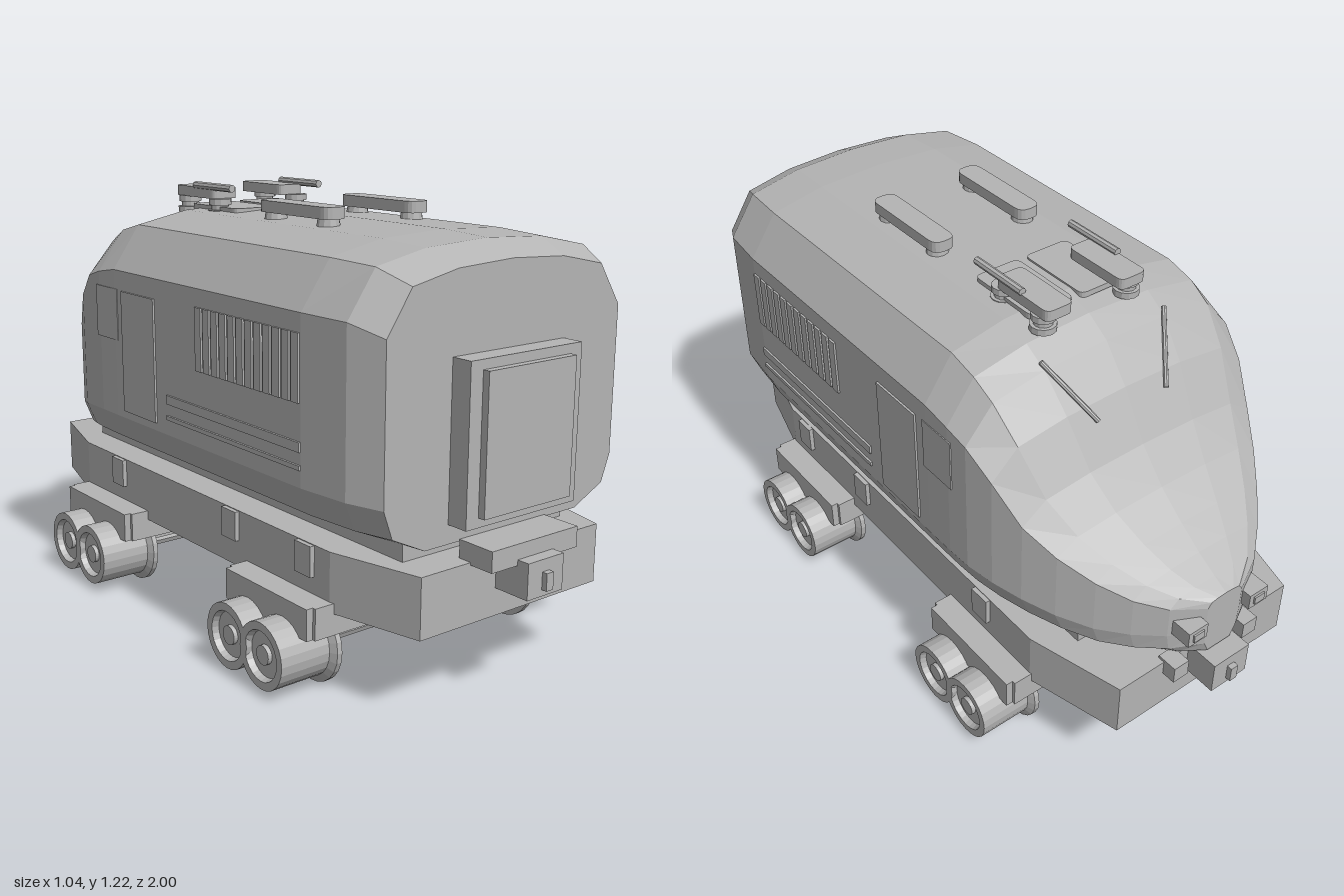
import * as THREE from 'three';

const grey = new THREE.MeshStandardMaterial({ color: 0xb4b4b4, flatShading: true });
grey.name = 'bodyGrey';

function add(parent, name, geo, x = 0, y = 0, z = 0) {
  const m = new THREE.Mesh(geo, grey);
  m.name = name;
  m.position.set(x, y, z);
  parent.add(m);
  return m;
}

// box given by its limits on each axis
function block(parent, name, x0, x1, y0, y1, z0, z1) {
  return add(parent, name, new THREE.BoxGeometry(Math.abs(x1 - x0), y1 - y0, Math.abs(z1 - z0)),
    (x0 + x1) / 2, (y0 + y1) / 2, (z0 + z1) / 2);
}

// rounded slab lying flat, given by its limits
function slab(parent, name, x0, x1, y0, y1, z0, z1, r) {
  const w = (x1 - x0) / 2, l = (z1 - z0) / 2, s = new THREE.Shape();
  s.moveTo(-w + r, -l).lineTo(w - r, -l).quadraticCurveTo(w, -l, w, -l + r);
  s.lineTo(w, l - r).quadraticCurveTo(w, l, w - r, l);
  s.lineTo(-w + r, l).quadraticCurveTo(-w, l, -w, l - r);
  s.lineTo(-w, -l + r).quadraticCurveTo(-w, -l, -w + r, -l);
  const g = new THREE.ExtrudeGeometry(s, { depth: y1 - y0, bevelEnabled: false, curveSegments: 4 });
  g.rotateX(-Math.PI / 2);
  return add(parent, name, g, (x0 + x1) / 2, y0, (z0 + z1) / 2);
}

// round bar between two points
function rod(parent, name, a, b, r) {
  const p = new THREE.Vector3(...a), q = new THREE.Vector3(...b), d = q.clone().sub(p);
  const m = add(parent, name, new THREE.CylinderGeometry(r, r, d.length(), 8));
  m.position.copy(p).add(q).multiplyScalar(0.5);
  m.quaternion.setFromUnitVectors(new THREE.Vector3(0, 1, 0), d.normalize());
}

// body shell lofted from sections: z, half width, top, bottom, shoulder drop, sill height
function bodyGeometry() {
  const stations = [
    [0.84, 0.395, 1.10, 0.425, 0.15, 0.125], [0.75, 0.435, 1.14, 0.43, 0.16, 0.125],
    [0.6, 0.45, 1.148, 0.43, 0.165, 0.125], [-0.28, 0.45, 1.15, 0.43, 0.165, 0.125],
    [-0.37, 0.449, 1.125, 0.43, 0.155, 0.125], [-0.44, 0.444, 1.08, 0.43, 0.13, 0.122],
    [-0.52, 0.425, 0.98, 0.425, 0.10, 0.118], [-0.6, 0.392, 0.845, 0.415, 0.07, 0.112],
    [-0.68, 0.345, 0.755, 0.4, 0.05, 0.105], [-0.76, 0.285, 0.69, 0.385, 0.045, 0.1],
    [-0.83, 0.22, 0.64, 0.385, 0.04, 0.095], [-0.89, 0.15, 0.605, 0.39, 0.03, 0.09],
    [-0.935, 0.06, 0.58, 0.395, 0.02, 0.085]];
  const pos = [], idx = [];
  stations.forEach(([z, w, t, b, drop, sill]) => {
    const half = [[0.45, t - drop * 0.06], [0.81, t - drop * 0.26], [1, t - drop],
      [1, b + sill], [0.93, b + sill * 0.4], [0.67, b]];
    const ring = [[0, t], ...half.map(([k, y]) => [-k * w, y]), [0, b],
      ...half.reverse().map(([k, y]) => [k * w, y])];
    ring.forEach(([x, y]) => pos.push(x, y, z));
  });
  const n = 14, last = (stations.length - 1) * n;
  for (let i = 0; i < stations.length - 1; i++) {
    for (let j = 0; j < n; j++) {
      const a = i * n + j, b = i * n + (j + 1) % n, c = b + n, d = a + n;
      idx.push(a, d, c, a, c, b);
    }
  }
  for (let j = 1; j < n - 1; j++) idx.push(0, j, j + 1, last, last + j + 1, last + j);
  const g = new THREE.BufferGeometry();
  g.setAttribute('position', new THREE.Float32BufferAttribute(pos, 3));
  g.setIndex(idx);
  g.computeVertexNormals();
  return g;
}

// wheel with inner flange, tread and a recessed outer face, axis along x
function wheelGeometry() {
  const profile = [[0, 0.343], [0.11, 0.343], [0.11, 0.358], [0.09, 0.368], [0.09, 0.518],
    [0.068, 0.518], [0.062, 0.5], [0.026, 0.5], [0.026, 0.512], [0, 0.512]];
  const g = new THREE.LatheGeometry(profile.map(([r, h]) => new THREE.Vector2(r, h)), 24);
  return g.rotateZ(-Math.PI / 2);
}

function bogie(parent, zc) {
  const g = new THREE.Group();
  g.name = 'bogie';
  g.position.z = zc;
  parent.add(g);
  block(g, 'bogieFrame', -0.43, 0.43, 0.165, 0.25, -0.185, 0.185);
  for (const s of [-1, 1]) {
    block(g, 'bogieSidePlate', s * 0.43, s * 0.45, 0.165, 0.25, -0.175, 0.175);
    block(g, 'axleBox', s * 0.2, s * 0.342, 0.13, 0.166, -0.12, 0.12);
  }
  for (const z of [-0.075, 0.075]) {
    rod(g, 'axle', [-0.35, 0.11, z], [0.35, 0.11, z], 0.02);
    for (const s of [-1, 1]) {
      const w = add(g, 'wheel', wheelGeometry(), 0, 0.11, z);
      if (s < 0) w.rotation.y = Math.PI;
    }
  }
}

export function createModel() {
  const model = new THREE.Group();
  model.name = 'locomotive';
  add(model, 'bodyShell', bodyGeometry());

  // underframe with tapered ends
  const plan = [[-0.3, -0.89], [0.3, -0.89], [0.375, -0.62], [0.375, 0.62],
    [0.31, 0.88], [-0.31, 0.88], [-0.375, 0.62], [-0.375, -0.62]];
  const frame = new THREE.ExtrudeGeometry(
    new THREE.Shape(plan.map(([x, z]) => new THREE.Vector2(x, -z))), { depth: 0.16, bevelEnabled: false });
  add(model, 'underframe', frame.rotateX(-Math.PI / 2), 0, 0.222, 0);
  block(model, 'bodyMount', -0.28, 0.28, 0.37, 0.44, -0.7, 0.78);
  bogie(model, 0.448);
  bogie(model, -0.441);

  // end door, step and couplers
  block(model, 'endDoorFrame', -0.19, 0.19, 0.475, 0.885, 0.83, 0.9);
  block(model, 'endDoorPanel', -0.15, 0.15, 0.5, 0.86, 0.9, 0.92);
  block(model, 'endStep', -0.15, 0.15, 0.375, 0.43, 0.84, 0.95);
  for (const s of [-1, 1]) {
    block(model, 'coupler', -0.062, 0.062, 0.295, 0.39, s * 0.87, s * 0.985);
    block(model, 'couplerPin', -0.012, 0.012, 0.312, 0.358, s * 0.985, s * 1);
  }

  for (const s of [-1, 1]) {
    // nose lamps and buffers
    block(model, 'headlamp', s * 0.075, s * 0.14, 0.488, 0.535, -0.955, -0.86);
    block(model, 'lampLens', s * 0.09, s * 0.125, 0.5, 0.523, -0.96, -0.955);
    block(model, 'noseBuffer', s * 0.1, s * 0.15, 0.34, 0.39, -0.93, -0.87);

    // brackets along the underframe
    for (const z of [0.525, 0.195, -0.41]) {
      block(model, 'frameBracket', s * 0.37, s * 0.388, 0.297, 0.38, z - 0.033, z + 0.033);
    }

    // thin side details
    const x0 = s * 0.449, x1 = s * 0.456;
    block(model, 'sideDoor', x0, x1, 0.578, 0.928, -0.235, -0.06);
    block(model, 'cabWindow', s * 0.444, s * 0.452, 0.78, 0.93, -0.385, -0.265);
    for (let i = 0; i < 12; i++) {
      const z = 0.15 + i * 0.038;
      block(model, 'ventSlat', x0, x1, 0.765, 0.935, z, z + 0.028);
    }
    block(model, 'sideStripe', x0, x1, 0.645, 0.67, 0, 0.6);
    block(model, 'sideStripe', x0, x1, 0.6, 0.612, 0, 0.6);

    // roof pods on short feet
    const pod = s * 0.145;
    slab(model, 'roofPod', pod - 0.035, pod + 0.035, 1.16, 1.192, 0.05, 0.36, 0.03);
    for (const z of [0.09, 0.32]) {
      add(model, 'podFoot', new THREE.CylinderGeometry(0.028, 0.034, 0.04, 12), pod, 1.147, z);
    }

    // roof plates with raised collector arms
    const plate = s * 0.083;
    slab(model, 'roofPlate', plate - 0.07, plate + 0.07, 1.138, 1.154, -0.325, -0.09, 0.02);
    const arm = s * 0.12;
    slab(model, 'collectorArm', arm - 0.042, arm + 0.042, 1.175, 1.205, -0.4, -0.19, 0.02);
    for (const z of [-0.195, -0.355]) {
      for (const [r, y] of [[0.036, 1.135], [0.026, 1.152], [0.033, 1.167]]) {
        add(model, 'insulator', new THREE.CylinderGeometry(r, r, 0.018, 12), s * 0.138, y, z);
      }
    }
    rod(model, 'collectorBar', [s * 0.157, 1.21, -0.295], [s * 0.157, 1.21, -0.105], 0.011);

    // windscreen wipers
    rod(model, 'wiper', [s * 0.205, 1.095, -0.43], [s * 0.115, 0.945, -0.552], 0.007);
  }
  return model;
}
